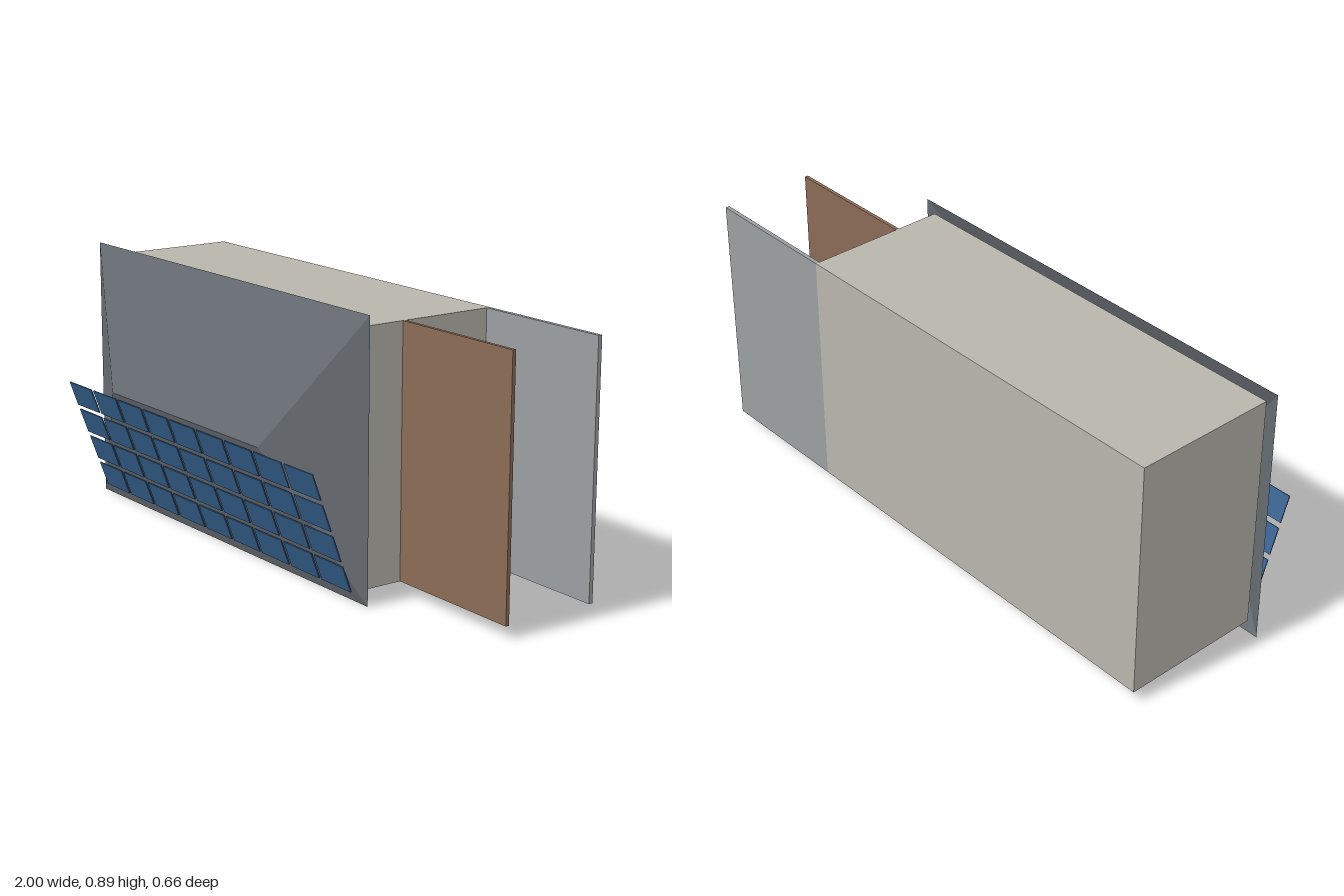
import * as THREE from 'three';

const mat = (color, side = THREE.FrontSide) =>
  new THREE.MeshStandardMaterial({ color, side, flatShading: true });

// Box given by its min and max corners
function box(name, material, [x0, y0, z0], [x1, y1, z1]) {
  const mesh = new THREE.Mesh(new THREE.BoxGeometry(x1 - x0, y1 - y0, z1 - z0), material);
  mesh.position.set((x0 + x1) / 2, (y0 + y1) / 2, (z0 + z1) / 2);
  mesh.name = name;
  return mesh;
}

// Hipped roof shell: four eave corners and a two-point ridge, open underneath
function hipRoof(x0, x1, y0, y1, z0, ridgeX0, ridgeX1, ridgeY, ridgeZ) {
  const a = [x0, y0, z0], b = [x1, y0, z0], c = [x1, y1, z0], d = [x0, y1, z0];
  const r = [ridgeX0, ridgeY, ridgeZ], s = [ridgeX1, ridgeY, ridgeZ];
  const faces = [a, b, s, a, s, r, b, c, s, c, d, r, c, r, s, d, a, r];
  const geo = new THREE.BufferGeometry();
  geo.setAttribute('position', new THREE.Float32BufferAttribute(faces.flat(), 3));
  geo.computeVertexNormals();
  return geo;
}

export function createModel() {
  const model = new THREE.Group();
  model.name = 'house';
  const yLow = 0.044, yHigh = 0.857;

  // Main block, with the floor extension and awning beside it
  model.add(
    box('walls', mat(0xb8b5ad), [-0.96, yLow, -0.327], [0.51, yHigh, 0.163]),
    box('patioFloor', mat(0x9c9fa1), [0.51, yLow, -0.327], [1, yHigh, -0.313]),
    box('patioCover', mat(0x8b6b57), [0.51, yLow, 0], [1, yHigh, 0.012]),
  );

  // Roof
  const roof = new THREE.Mesh(
    hipRoof(-1, 0.546, 0.003, 0.897, 0.163, -0.655, 0.205, 0.45, 0.327),
    mat(0x666c72, THREE.DoubleSide));
  roof.name = 'roof';
  model.add(roof);

  // Solar array: nine columns by four rows, floating just off the lower slope
  const array = new THREE.Group();
  array.name = 'solarArray';
  const panelGeo = new THREE.BoxGeometry(0.147, 0.091, 0.004);
  const panelMat = mat(0x35608f);
  for (let row = 0; row < 4; row++) {
    for (let col = 0; col < 9; col++) {
      const panel = new THREE.Mesh(panelGeo, panelMat);
      panel.name = 'solarPanel';
      panel.position.set(-0.872 + col * 0.161, 0.081 + row * 0.1025, 0.199 + row * 0.0375);
      panel.rotation.x = 0.35;
      array.add(panel);
    }
  }
  model.add(array);
  return model;
}
